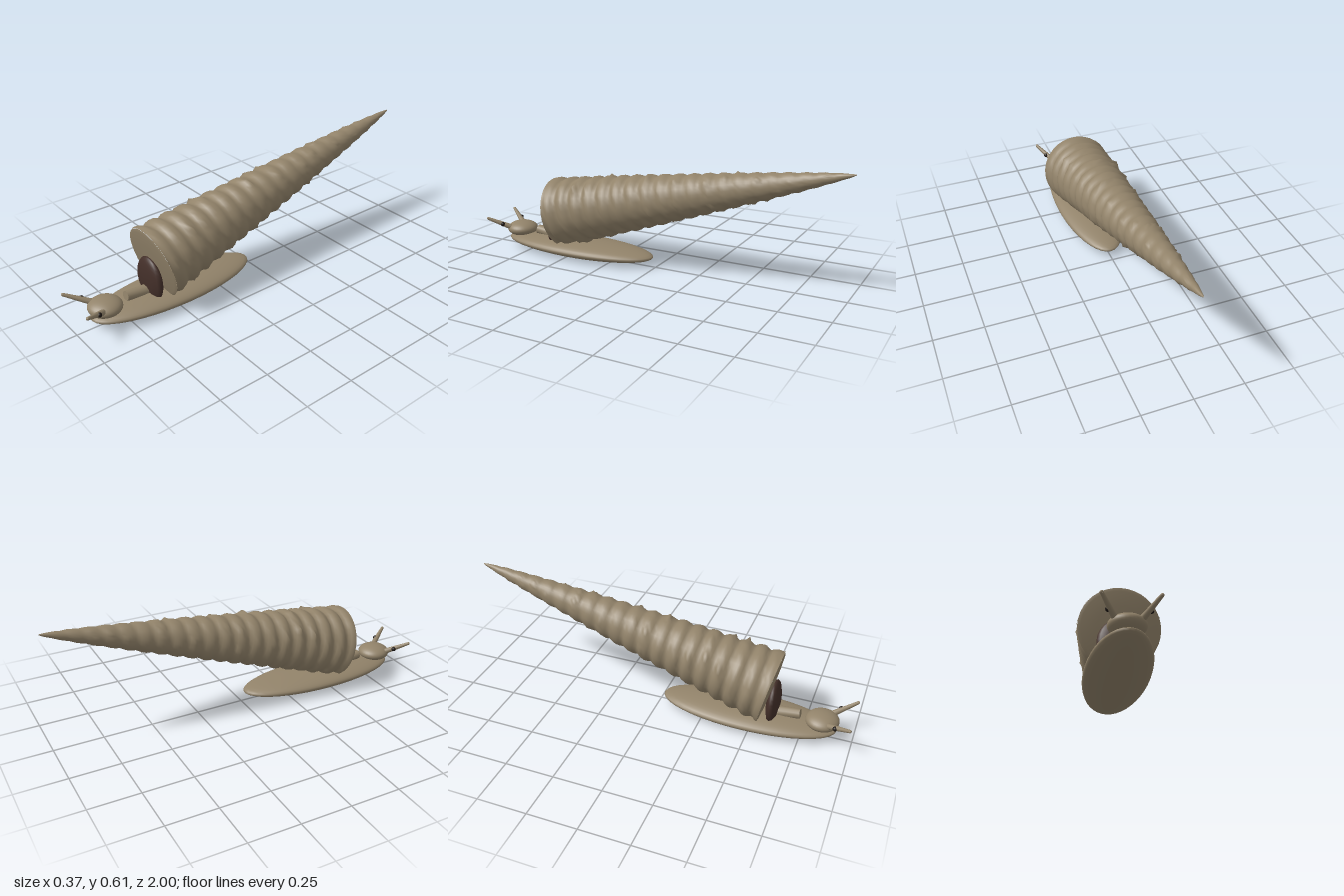
import * as THREE from 'three';

const tan = new THREE.MeshStandardMaterial({ color: 0x92836a });
tan.name = 'shellTan';
const brown = new THREE.MeshStandardMaterial({ color: 0x432f29 });
brown.name = 'darkBrown';
const black = new THREE.MeshStandardMaterial({ color: 0x1d1714 });
black.name = 'eyeBlack';

function add(parent, name, geometry, material) {
  const mesh = new THREE.Mesh(geometry, material);
  mesh.name = name;
  parent.add(mesh);
  return mesh;
}

function ellipsoid(parent, name, material, center, radii, w = 32, h = 20) {
  const mesh = add(parent, name, new THREE.SphereGeometry(1, w, h), material);
  mesh.position.set(...center);
  mesh.scale.set(...radii);
  return mesh;
}

// Tapered round bar between two points
function bar(parent, name, material, from, to, r0, r1) {
  const a = new THREE.Vector3(...from), b = new THREE.Vector3(...to);
  const mesh = add(parent, name, new THREE.CylinderGeometry(r1, r0, a.distanceTo(b), 14), material);
  mesh.position.copy(a).add(b).multiplyScalar(0.5);
  mesh.quaternion.setFromUnitVectors(new THREE.Vector3(0, 1, 0), b.clone().sub(a).normalize());
  return mesh;
}

function seeded(seed) {
  return () => (seed = (seed * 16807) % 2147483647) / 2147483647;
}

// Long spiral cone: rounded whorls with sharp sutures and scattered thorns, tip toward -z
function spiralGeometry(length, baseRadius, whorls) {
  const sides = 36, rings = whorls * 6, random = seeded(71);
  const pos = [], index = [];
  for (let i = 0; i <= rings; i++) {
    const t = i / rings;
    const base = baseRadius * Math.pow(1 - t, 0.8) + 0.002;
    for (let j = 0; j < sides; j++) {
      const turn = j / sides, angle = turn * Math.PI * 2;
      const ridge = Math.abs(Math.sin(Math.PI * (t * whorls + turn)));
      const thorn = ridge > 0.8 && random() > 0.95 ? 0.1 * random() : 0;
      const rough = (random() - 0.5) * 0.025;
      const r = base * (i === 0 ? 1 : 0.91 + 0.1 * ridge + thorn + rough);
      pos.push(r * Math.cos(angle), r * Math.sin(angle), -t * length);
      if (i < rings) {
        const a = i * sides + j, b = i * sides + (j + 1) % sides;
        index.push(a, b, a + sides, b, b + sides, a + sides);
      }
    }
  }
  const geometry = new THREE.BufferGeometry();
  geometry.setAttribute('position', new THREE.Float32BufferAttribute(pos, 3));
  geometry.setIndex(index);
  // Corner order has to face outward
  for (let k = 0; k < index.length; k += 3) {
    const [a, b, c] = [0, 1, 2].map(n => new THREE.Vector3().fromArray(pos, index[k + n] * 3));
    const normal = b.clone().sub(a).cross(c.clone().sub(a));
    if (normal.x * a.x + normal.y * a.y < 0) {
      [index[k + 1], index[k + 2]] = [index[k + 2], index[k + 1]];
    }
  }
  geometry.setIndex(index);
  geometry.computeVertexNormals();
  return geometry;
}

export function createModel() {
  const model = new THREE.Group();
  model.name = 'snail';

  // Shell, tilted so the tip rises behind
  const shell = new THREE.Group();
  shell.name = 'shell';
  shell.position.set(0, 0.225, 0.575);
  shell.rotation.x = Math.atan2(0.38, 1.575);
  model.add(shell);
  add(shell, 'shellSpire', spiralGeometry(1.62, 0.185, 20), tan);

  // Slightly domed closing face of the shell
  const faceProfile = [[0.185, 0], [0.17, 0.005], [0.1, 0.01], [0, 0.012]]
    .map(p => new THREE.Vector2(...p));
  const face = add(shell, 'shellFace', new THREE.LatheGeometry(faceProfile, 36), tan);
  face.rotation.x = Math.PI / 2;

  // Dark opening
  const opening = add(model, 'shellOpening',
    new THREE.SphereGeometry(1, 12, 10, 0, Math.PI * 2, 0, Math.PI * 0.66), brown);
  opening.position.set(0, 0.14, 0.597);
  opening.scale.set(0.102, 0.118, 0.032);

  // Soft body
  ellipsoid(model, 'foot', tan, [0, 0.046, 0.47], [0.151, 0.045, 0.45], 40, 20);
  ellipsoid(model, 'head', tan, [0, 0.095, 0.845], [0.083, 0.041, 0.083]);
  bar(model, 'siphon', tan, [0, 0.085, 0.6], [0, 0.102, 0.735], 0.031, 0.025);

  // Tentacles with eyes
  for (const side of [1, -1]) {
    const name = side > 0 ? 'left' : 'right';
    bar(model, name + 'Tentacle', tan,
      [side * 0.048, 0.102, 0.875], [side * 0.118, 0.158, 0.992], 0.016, 0.008);
    ellipsoid(model, name + 'TentacleTip', tan,
      [side * 0.118, 0.158, 0.992], [0.008, 0.008, 0.008], 12, 8);
    ellipsoid(model, name + 'Eye', black,
      [side * 0.085, 0.126, 0.919], [0.012, 0.012, 0.012], 12, 8);
  }
  return model;
}
